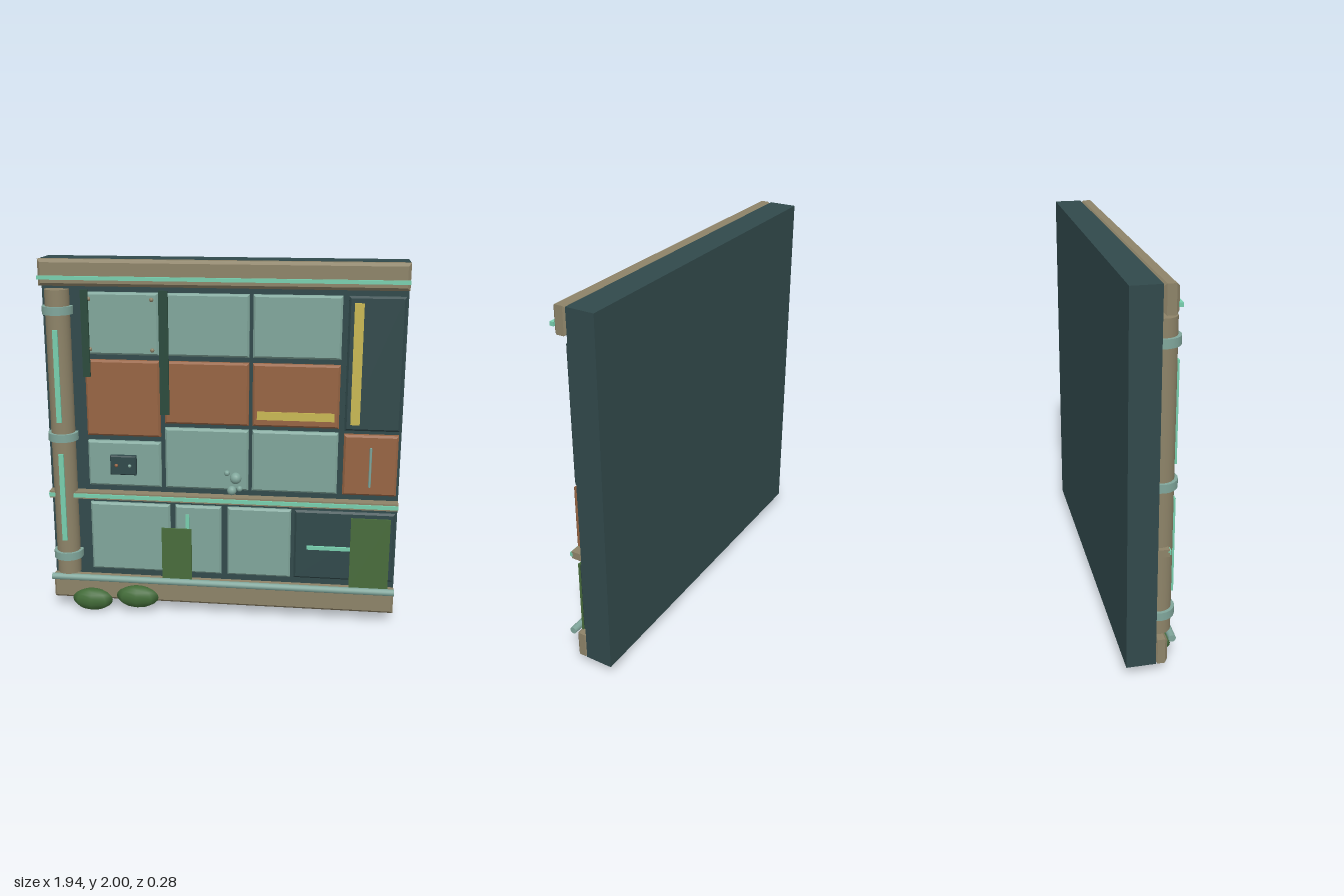
import * as THREE from 'three';

const mat = (name, color) => {
  const m = new THREE.MeshStandardMaterial({ color });
  m.name = name;
  return m;
};

export function createModel() {
  const root = new THREE.Group();
  root.name = 'wallPanel';
  const teal = mat('darkTeal', 0x31494b);
  const sage = mat('paleSage', 0x80a69b);
  const mint = mat('brightMint', 0x78cfae);
  const tan = mat('stoneTan', 0x8d8368);
  const rust = mat('rust', 0x976443);
  const yellow = mat('mutedYellow', 0xc9b853);
  const leaf = mat('leafGreen', 0x486c3c);
  const vine = mat('deepGreen', 0x2a4a3c);
  const moss = mat('mossGreen', 0x426b38);

  const add = (name, geo, material, x = 0, y = 0, z = 0) => {
    const mesh = new THREE.Mesh(geo, material);
    mesh.name = name;
    mesh.position.set(x, y, z);
    root.add(mesh);
    return mesh;
  };
  // Box given by its limits on each axis
  const box = (name, m, x0, x1, y0, y1, z0, z1) =>
    add(name, new THREE.BoxGeometry(x1 - x0, y1 - y0, z1 - z0), m,
      (x0 + x1) / 2, (y0 + y1) / 2, (z0 + z1) / 2);
  // Box with chamfered front and back edges
  const bevelBox = (name, m, x0, x1, y0, y1, z0, z1, b) => {
    const s = new THREE.Shape();
    s.moveTo(x0 + b, y0 + b);
    s.lineTo(x1 - b, y0 + b);
    s.lineTo(x1 - b, y1 - b);
    s.lineTo(x0 + b, y1 - b);
    s.closePath();
    const geo = new THREE.ExtrudeGeometry(s, {
      depth: z1 - z0 - 2 * b, bevelEnabled: true, bevelSegments: 1, bevelSize: b, bevelThickness: b,
    });
    return add(name, geo, m, 0, 0, z0 + b);
  };

  // Backing slab and the two beams
  box('backSlab', teal, -0.97, 0.97, 0.06, 2, -0.14, 0.01);
  bevelBox('topBeam', tan, -0.97, 0.97, 1.86, 2, 0.01, 0.085, 0.016);
  box('topBeamStrip', mint, -0.97, 0.97, 1.895, 1.915, 0.08, 0.1);
  bevelBox('bottomBeam', tan, -0.97, 0.97, 0.06, 0.2, 0.005, 0.07, 0.014);

  // Tiles: material, x limits, y limits, front z
  const tiles = [
    [sage, -0.745, -0.335, 1.49, 1.825, 0.04],
    [sage, -0.31, 0.15, 1.49, 1.825, 0.04],
    [sage, 0.17, 0.635, 1.49, 1.825, 0.04],
    [teal, 0.665, 0.96, 1.105, 1.825, 0.033],
    [rust, -0.745, -0.335, 1.035, 1.46, 0.04],
    [rust, -0.31, 0.15, 1.115, 1.46, 0.04],
    [rust, 0.17, 0.635, 1.115, 1.46, 0.04],
    [sage, -0.745, -0.335, 0.745, 1.005, 0.04],
    [sage, -0.31, 0.15, 0.745, 1.09, 0.04],
    [sage, 0.17, 0.635, 0.745, 1.09, 0.04],
    [rust, 0.665, 0.955, 0.745, 1.085, 0.045],
    [sage, -0.745, -0.29, 0.235, 0.64, 0.035],
    [sage, -0.26, 0, 0.235, 0.64, 0.035],
    [sage, 0.035, 0.39, 0.235, 0.64, 0.035],
    [teal, 0.41, 0.96, 0.235, 0.64, 0.033],
  ];
  tiles.forEach(([m, x0, x1, y0, y1, z]) => bevelBox('tile', m, x0, x1, y0, y1, 0, z, 0.011));

  // Painted and glowing strips on the tiles
  box('verticalYellowStripe', yellow, 0.695, 0.745, 1.14, 1.79, 0.032, 0.04);
  box('horizontalYellowStripe', yellow, 0.195, 0.61, 1.155, 1.2, 0.039, 0.047);
  box('horizontalLight', mint, 0.48, 0.89, 0.415, 0.435, 0.032, 0.046);
  box('verticalLight', mint, -0.2, -0.18, 0.29, 0.59, 0.034, 0.046);

  // Column with bands and light strips
  const cx = -0.882, cz = 0.035;
  add('column', new THREE.CylinderGeometry(0.066, 0.066, 1.62, 20), tan, cx, 1.03, cz);
  for (const y of [0.33, 1.03, 1.73])
    add('columnBand', new THREE.CylinderGeometry(0.083, 0.083, 0.044, 20), sage, cx, y, cz);
  for (const y of [0.685, 1.375])
    box('columnLight', mint, cx - 0.014, cx + 0.014, y - 0.255, y + 0.255, 0.09, 0.11);

  // Middle rail and bottom pipe
  box('middleRail', tan, -0.97, 0.97, 0.67, 0.71, 0.01, 0.067);
  box('middleRailLight', mint, -0.97, 0.97, 0.68, 0.701, 0.06, 0.076);
  add('bottomPipe', new THREE.CylinderGeometry(0.019, 0.019, 1.94, 14), sage, 0, 0.2, 0.091)
    .rotation.z = Math.PI / 2;

  // Hanging vines and leaf plates
  box('hangingVine', vine, -0.75, -0.71, 1.37, 1.84, 0.047, 0.06);
  box('hangingVine', vine, -0.33, -0.28, 1.17, 1.84, 0.047, 0.06);
  box('leafPlate', leaf, -0.335, -0.165, 0.2, 0.51, 0.05, 0.059);
  box('leafPlate', leaf, 0.72, 0.935, 0.2, 0.615, 0.05, 0.059);

  // Socket box, rivets and door handle
  bevelBox('socketBox', teal, -0.615, -0.47, 0.82, 0.93, 0.035, 0.07, 0.006);
  [[-0.58, rust], [-0.505, sage]].forEach(([x, m]) =>
    add('socketStud', new THREE.SphereGeometry(0.01, 10, 6), m, x, 0.875, 0.07));
  for (const x of [-0.71, -0.37])
    for (const y of [1.52, 1.79])
      add('rivet', new THREE.SphereGeometry(0.012, 10, 6), tan, x, y, 0.039);
  add('doorHandle', new THREE.CylinderGeometry(0.007, 0.007, 0.22, 8), sage, 0.81, 0.91, 0.058);
  for (const y of [0.81, 1.01]) box('handleMount', teal, 0.804, 0.816, y - 0.006, y + 0.006, 0.04, 0.058);

  // Cluster of bubbles
  [[0.035, 0.85, 0.016], [0.083, 0.822, 0.032], [0.062, 0.75, 0.026], [0.105, 0.762, 0.016]]
    .forEach(([x, y, r]) => add('bubble', new THREE.SphereGeometry(r, 14, 10), sage, x, y, 0.056));

  // Moss mounds at the foot
  [[-0.74, 0.065, 0.117], [-0.477, 0.095, 0.122]].forEach(([x, y, rx]) =>
    add('mossMound', new THREE.SphereGeometry(1, 8, 10), moss, x, y, 0.085).scale.set(rx, 0.065, 0.053));

  return root;
}
